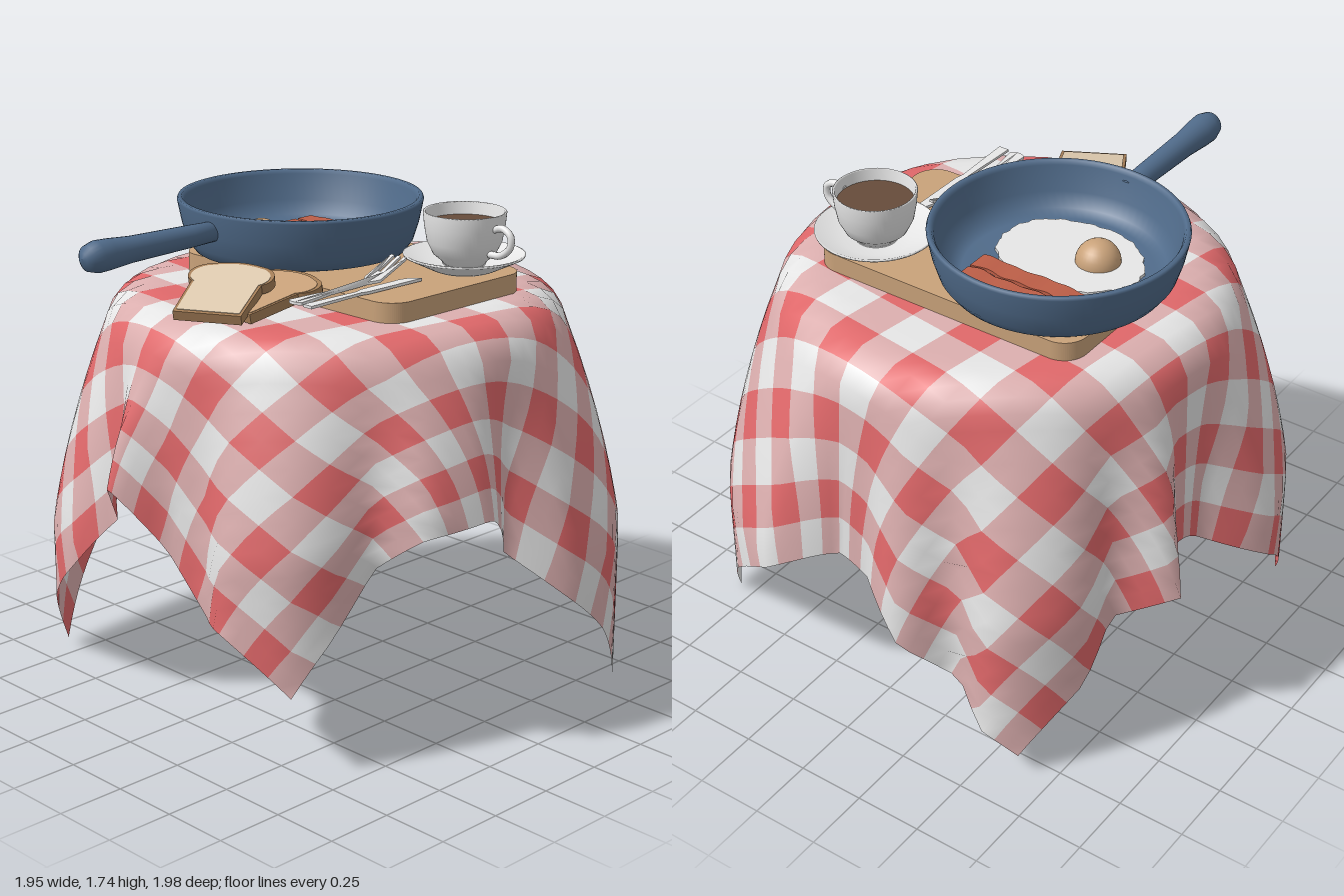
import * as THREE from 'three';

const mat = (name, color, side = THREE.FrontSide) => {
  const m = new THREE.MeshStandardMaterial({ color, side });
  m.name = name;
  return m;
};
const V2 = (x, y) => new THREE.Vector2(x, y);
const DEG = Math.PI / 180;

function add(parent, name, geometry, material, x = 0, y = 0, z = 0) {
  const mesh = new THREE.Mesh(geometry, material);
  mesh.name = name;
  mesh.position.set(x, y, z);
  parent.add(mesh);
  return mesh;
}
const lathe = (pts, seg = 64) => new THREE.LatheGeometry(pts.map(p => V2(...p)), seg);
// Flat plate: outline in x and -z, thickness upwards
const plate = (shape, depth) =>
  new THREE.ExtrudeGeometry(shape, { depth, bevelEnabled: false, curveSegments: 10 }).rotateX(-Math.PI / 2);

// Folds round the hanging cloth: angle, radius at the hem, share of full drop
const FOLDS = [
  [0, 0.85, 1], [8, 0.86, 1], [20, 1.04, 1], [36, 1.04, 1], [53, 1.03, 1], [68, 1.03, 1], [79, 1.0, 1],
  [90, 0.82, 0.92], [102, 0.97, 0.68], [117, 0.98, 0.58], [126, 0.86, 0.64], [135, 0.95, 0.73],
  [143, 1.0, 0.78], [158, 0.98, 0.82], [166, 0.84, 0.95], [177, 0.85, 0.85], [186, 1.0, 0.63],
  [194, 0.88, 0.85], [204, 1.0, 1], [218, 1.03, 1], [233, 1.03, 0.98], [248, 1.02, 1], [259, 1.02, 1],
  [270, 0.83, 1], [282, 0.84, 0.95], [290, 1.03, 0.9], [301, 0.87, 0.9], [310, 1.01, 0.92],
  [322, 1.05, 0.93], [330, 1.03, 0.98], [336, 0.87, 1], [348, 0.97, 1], [360, 0.85, 1],
];
function foldAt(angle) {
  const d = ((angle / DEG) % 360 + 360) % 360;
  const i = Math.max(1, FOLDS.findIndex(f => f[0] >= d));
  const a = FOLDS[i - 1], b = FOLDS[i];
  const t = (d - a[0]) / (b[0] - a[0]);
  return [a[1] + (b[1] - a[1]) * t, a[2] + (b[2] - a[2]) * t];
}

// Square checked cloth draped over a round top
function clothGeometry() {
  const checks = 20, sub = 2, n = checks * sub, size = 0.157;
  const turn = 8 * DEG, flat = 0.68, bend = 0.14, maxBend = 1.4;
  const pos = [], lists = [[], [], []];
  for (let i = 0; i <= n; i++) for (let j = 0; j <= n; j++) {
    const u = (i / sub - checks / 2) * size, v = (j / sub - checks / 2) * size;
    const d = Math.hypot(u, v), theta = Math.atan2(v, u);
    const hang = THREE.MathUtils.smoothstep(d, 0.6, 1.5);
    // spread the corners into wide lobes and gather the cloth between them
    const phi = theta + turn + 0.13 * hang * Math.sin(4 * (theta - Math.PI / 4));
    let r = d, y = 1.46;
    if (d > flat) {
      const b = Math.min((d - flat) / bend, maxBend);
      r = flat + bend * Math.sin(b);
      y -= bend * (1 - Math.cos(b));
      const t = Math.max(0, d - flat - bend * maxBend);
      const [hem, drop] = foldAt(phi);
      const f = Math.min(1, t / 0.75);
      r += (hem - flat - bend * Math.sin(maxBend)) * f * (1.4 - 0.4 * f);
      y -= t * drop;
    }
    pos.push(r * Math.cos(phi), Math.max(0, y), r * Math.sin(phi));
  }
  for (let i = 0; i < n; i++) for (let j = 0; j < n; j++) {
    const a = i * (n + 1) + j, b = a + 1, c = a + n + 2, d = a + n + 1;
    const kind = (Math.floor(i / sub) % 2) + (Math.floor(j / sub) % 2);
    lists[kind].push(a, b, c, a, c, d);
  }
  const g = new THREE.BufferGeometry();
  g.setAttribute('position', new THREE.Float32BufferAttribute(pos, 3));
  g.setIndex(lists.flat());
  let start = 0;
  lists.forEach((l, k) => { g.addGroup(start, l.length, k); start += l.length; });
  g.computeVertexNormals();
  return g;
}

function roundedRect(w, h, r) {
  const s = new THREE.Shape(), x = w / 2, y = h / 2;
  s.absarc(x - r, y - r, r, 0, Math.PI / 2);
  s.absarc(-x + r, y - r, r, Math.PI / 2, Math.PI);
  s.absarc(-x + r, -y + r, r, Math.PI, Math.PI * 1.5);
  s.absarc(x - r, -y + r, r, Math.PI * 1.5, Math.PI * 2);
  return s;
}

// Loaf outline, k insets it about its middle
function breadShape(k) {
  const p = (x, y) => [x * k, 0.17 + (y - 0.17) * k];
  const s = new THREE.Shape();
  s.moveTo(...p(-0.12, 0));
  s.lineTo(...p(0.12, 0));
  s.lineTo(...p(0.125, 0.21));
  s.bezierCurveTo(...p(0.17, 0.24), ...p(0.16, 0.32), ...p(0.09, 0.335));
  s.quadraticCurveTo(...p(0, 0.37), ...p(-0.09, 0.335));
  s.bezierCurveTo(...p(-0.16, 0.32), ...p(-0.17, 0.24), ...p(-0.125, 0.21));
  return s;
}

export function createModel() {
  const model = new THREE.Group();
  const red = mat('cloth red', 0xe0686a, THREE.DoubleSide);
  const pink = mat('cloth pink', 0xdcafaf, THREE.DoubleSide);
  const white = mat('cloth white', 0xe6e6e6, THREE.DoubleSide);
  const china = mat('china white', 0xe8e8e8);
  const blue = mat('pan blue', 0x506b8a);
  const wood = mat('wood tan', 0xc9a27a);
  const crust = mat('crust brown', 0xa67f58);
  const crumb = mat('crumb cream', 0xdfcbb0);
  const coffee = mat('coffee brown', 0x664c3b);
  const meat = mat('bacon red', 0xbc5e47);

  add(model, 'tablecloth', clothGeometry(), [red, pink, white]);
  add(model, 'cuttingBoard', plate(roundedRect(0.68, 1.08, 0.09), 0.075), wood, 0.07, 1.455, 0);

  // Frying pan
  const pan = new THREE.Group();
  pan.name = 'fryingPan';
  pan.position.set(0.07, 1.53, -0.255);
  model.add(pan);
  add(pan, 'panBowl', lathe([[0, 0], [0.35, 0], [0.385, 0.01], [0.41, 0.045], [0.43, 0.11], [0.446, 0.19],
    [0.442, 0.2], [0.428, 0.2], [0.42, 0.185], [0.4, 0.09], [0.37, 0.04], [0.33, 0.022], [0, 0.02]], 80), blue);
  const handle = add(pan, 'panHandle', lathe([[0, 0], [0.036, 0], [0.04, 0.12], [0.046, 0.38], [0.054, 0.48],
    [0.056, 0.53], [0.045, 0.57], [0.022, 0.587], [0, 0.591]], 24), blue, -0.415, 0.132, 0);
  handle.rotation.z = 90 * DEG;

  // Fried egg with an uneven edge
  const edge = [];
  for (let i = 0; i < 90; i++) {
    const a = i * 4 * DEG;
    const k = 1 + 0.015 * Math.sin(a * 5) + 0.012 * Math.sin(a * 17 + 1) + 0.01 * Math.sin(a * 29);
    edge.push(V2(0.21 * k * Math.cos(a), 0.27 * k * Math.sin(a)));
  }
  add(pan, 'eggWhite', plate(new THREE.Shape(edge), 0.014), china, -0.085, 0.02, 0.005);
  add(pan, 'eggYolk', new THREE.SphereGeometry(0.08, 32, 16), wood, -0.11, 0.032, -0.09);

  // Bacon strips with uneven sides
  for (const x of [0.135, 0.222]) {
    const g = new THREE.BoxGeometry(0.076, 0.014, 0.45, 2, 1, 36);
    const p = g.attributes.position;
    for (let i = 0; i < p.count; i++) {
      const z = p.getZ(i), px = p.getX(i);
      p.setY(i, p.getY(i) + 0.002 * Math.sin(z * 42));
      p.setX(i, px * (1 + 0.09 * Math.sin(z * 55 + x * 20)) + 0.004 * Math.sin(z * 30));
    }
    g.computeVertexNormals();
    add(pan, 'baconStrip', g, meat, x, 0.038, 0.015);
  }

  // Cup and saucer
  const cup = new THREE.Group();
  cup.name = 'coffeeCup';
  cup.position.set(0.26, 1.53, 0.376);
  model.add(cup);
  add(cup, 'saucer', lathe([[0, 0], [0.1, 0], [0.12, 0.008], [0.214, 0.054], [0.216, 0.06], [0.21, 0.062],
    [0.12, 0.022], [0, 0.02]]), china);
  add(cup, 'cupBody', lathe([[0, 0], [0.075, 0], [0.08, 0.015], [0.11, 0.04], [0.132, 0.085], [0.142, 0.14],
    [0.147, 0.19], [0.143, 0.193], [0.138, 0.19], [0.134, 0.14], [0.122, 0.085], [0.1, 0.045], [0, 0.03]]),
    china, 0, 0.02, 0);
  add(cup, 'coffee', new THREE.CircleGeometry(0.136, 48).rotateX(-Math.PI / 2), coffee, 0, 0.168, 0);
  const loop = new THREE.CatmullRomCurve3([[0.165, 0.135], [0.176, 0.175], [0.155, 0.212], [0.115, 0.212],
    [0.08, 0.17], [0.075, 0.118]].map(([y, z]) => new THREE.Vector3(0, y, z)));
  add(cup, 'cupHandle', new THREE.TubeGeometry(loop, 24, 0.013, 10), china);

  // Leaning bread slices: x, y, z of the lower edge, yaw, pitch, face
  for (const [x, y, z, yaw, pitch, face] of [
    [-0.71, 1.475, 0.115, -61, 15, crumb], [-0.59, 1.465, 0.085, -93, 10, wood]]) {
    const slice = new THREE.Group();
    slice.name = 'breadSlice';
    slice.position.set(x, y, z);
    slice.rotation.set(pitch * DEG, yaw * DEG, 0, 'YXZ');
    add(slice, 'crust', plate(breadShape(1), 0.034), crust);
    add(slice, 'crumb', plate(breadShape(0.92), 0.038), face, 0, -0.002, 0);
    model.add(slice);
  }

  // Fork with raised tines
  const fork = new THREE.Shape();
  fork.moveTo(0, -0.03);
  fork.quadraticCurveTo(-0.025, 0, 0, 0.03);
  fork.lineTo(0.1, 0.02);
  for (let x = 0.16; x < 0.36; x += 0.06) fork.lineTo(x, 0.011);
  fork.lineTo(0.38, 0.036);
  for (let i = 0; i < 3; i++) {
    const top = 0.036 - i * 0.0285;
    fork.lineTo(0.515, top);
    fork.lineTo(0.515, top - 0.015);
    if (i < 2) { fork.lineTo(0.43, top - 0.015); fork.lineTo(0.43, top - 0.0285); }
  }
  fork.lineTo(0.38, -0.036);
  for (let x = 0.34; x > 0.15; x -= 0.06) fork.lineTo(x, -0.011);
  fork.lineTo(0.1, -0.02);
  const forkGeo = plate(fork, 0.01), fp = forkGeo.attributes.position;
  for (let i = 0; i < fp.count; i++) {
    const t = Math.max(0, fp.getX(i) - 0.32) / 0.195;
    fp.setY(i, fp.getY(i) + 0.06 * t * t);
  }
  forkGeo.computeVertexNormals();
  add(model, 'fork', forkGeo, china, -0.49, 1.535, 0.308).rotation.y = 2.5 * DEG;

  // Knife
  const knife = new THREE.Shape();
  knife.moveTo(0, -0.02);
  knife.lineTo(0, 0.02);
  knife.lineTo(0.24, 0.011);
  knife.lineTo(0.27, 0.022);
  knife.lineTo(0.46, 0.022);
  knife.quadraticCurveTo(0.51, 0.015, 0.525, -0.02);
  knife.lineTo(0.27, -0.018);
  knife.lineTo(0.24, -0.011);
  add(model, 'knife', plate(knife, 0.01), china, -0.5, 1.535, 0.375);

  return model;
}
